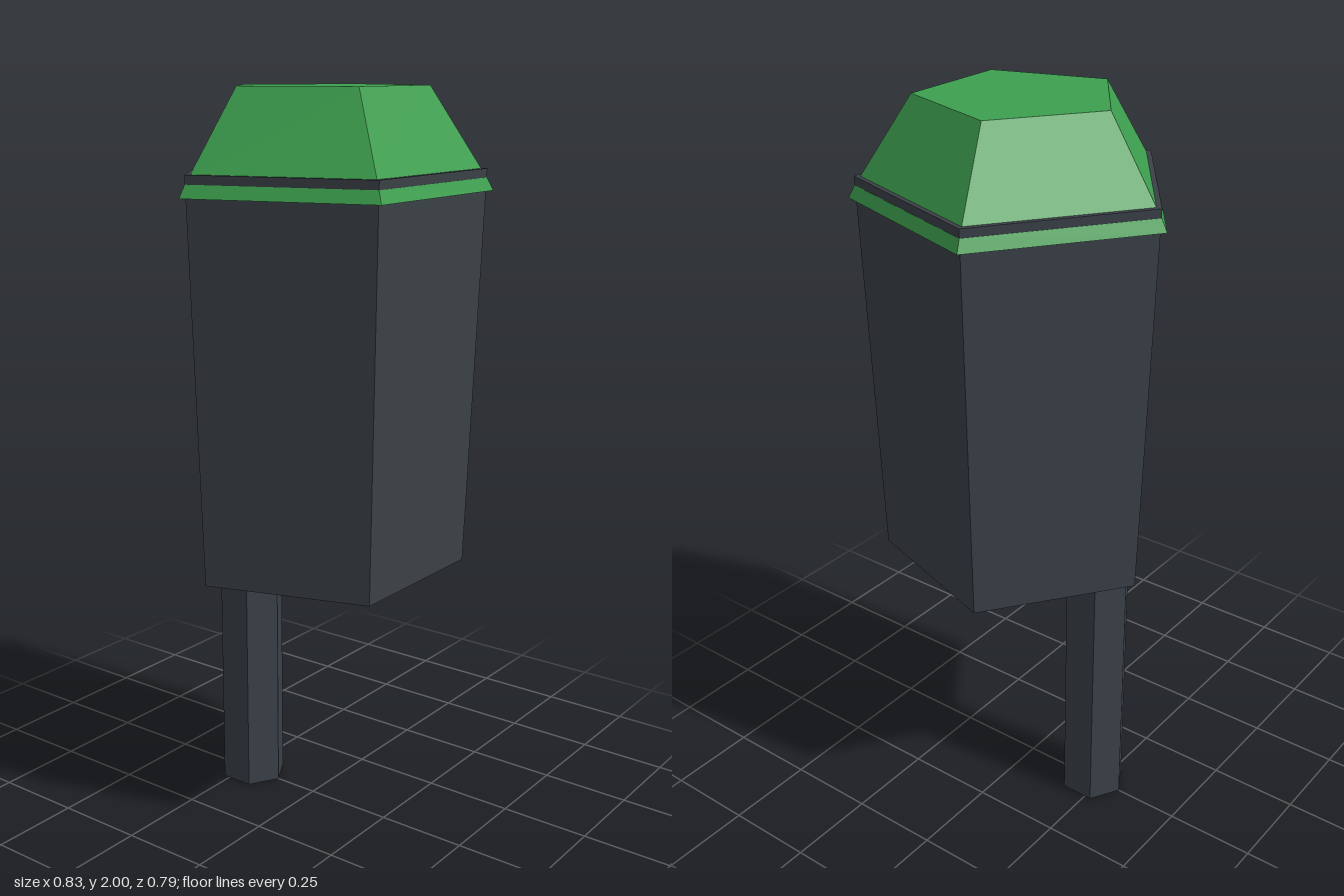
import * as THREE from 'three';

export function createModel() {
  const model = new THREE.Group();
  const green = new THREE.MeshStandardMaterial({ color: 0x3c9f4e, flatShading: true });
  green.name = 'green';
  const dark = new THREE.MeshStandardMaterial({ color: 0x3b4148, flatShading: true });
  dark.name = 'dark slate';

  const add = (name, geometry, material, y, z) => {
    const mesh = new THREE.Mesh(geometry, material);
    mesh.name = name;
    mesh.position.set(0, y, z);
    model.add(mesh);
  };

  // Tapered prism between two heights; start turns its first corner
  const prism = (name, sides, rTop, rBottom, y0, y1, z, start, material) =>
    add(name, new THREE.CylinderGeometry(rTop, rBottom, y1 - y0, sides, 1, false, start),
      material, (y0 + y1) / 2, z);

  const centerZ = 0.039;

  // Five-sided housing and cap, one corner pointing to the back
  prism('housing', 5, 0.417, 0.382, 0.73, 1.793, centerZ, Math.PI, dark);
  prism('cap', 5, 0.266, 0.401, 1.793, 2, centerZ, Math.PI, green);

  // Sloping collar around the top of the housing
  const collar = [[0.412, 1.737], [0.434, 1.737], [0.417, 1.77], [0.412, 1.77]]
    .map(([r, y]) => new THREE.Vector2(r, y));
  add('collar', new THREE.LatheGeometry(collar, 5, Math.PI), green, 0, centerZ);

  // Hexagonal post under the back corner
  prism('post', 6, 0.0935, 0.0935, 0, 0.735, -0.222, 0, dark);

  return model;
}
